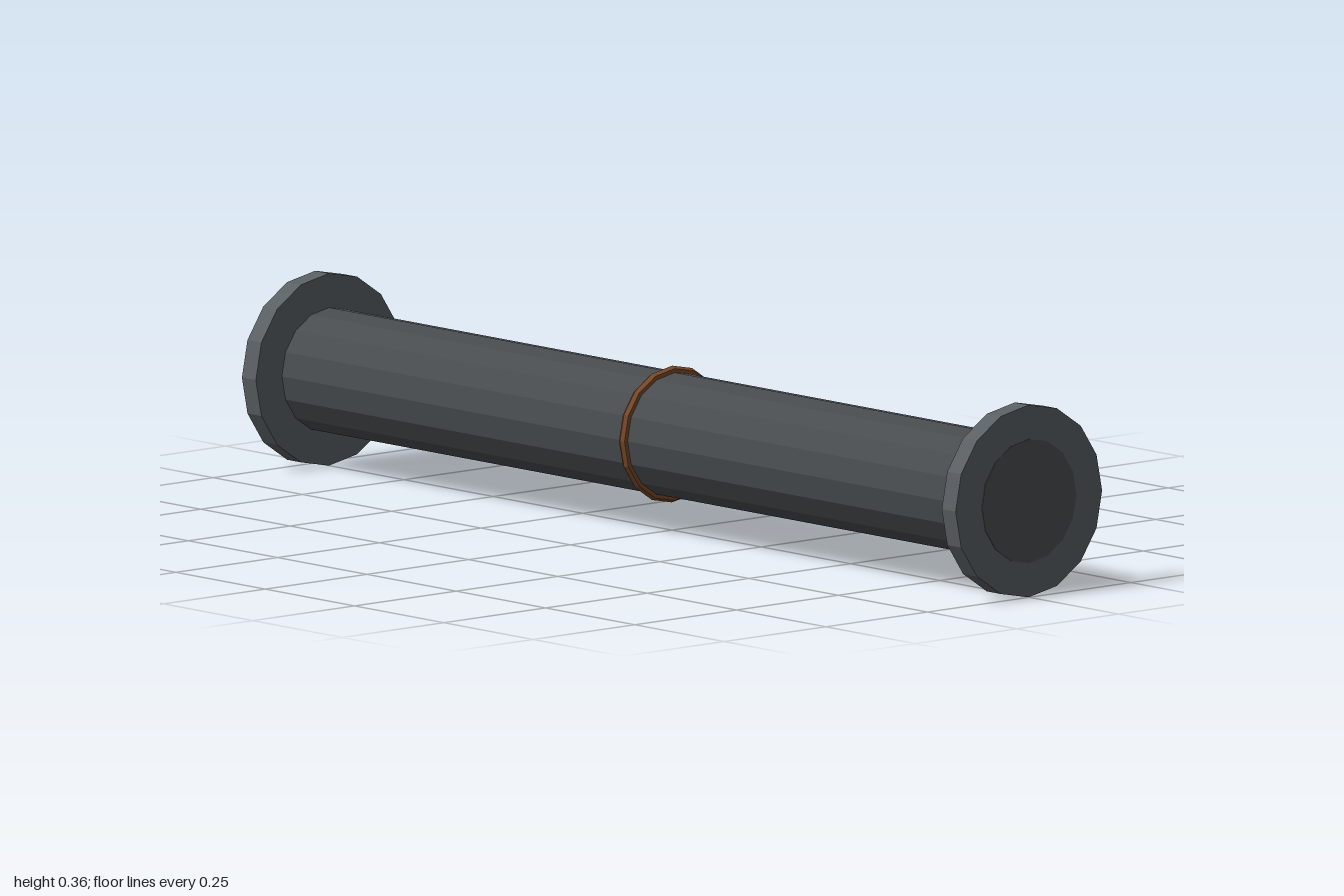
import * as THREE from 'three';

const SIDES = 16;
const AXIS_Y = 0.18;

const paint = (color) => new THREE.MeshStandardMaterial({ color, flatShading: true });

export function createModel() {
  const model = new THREE.Group();
  model.name = 'flangedPipe';
  const pipeMat = paint(0x484c4f);
  const flangeMat = paint(0x5a5f63);
  const ringMat = paint(0x7a4a2a);

  // Closed cylinder lying along x
  const addCylinder = (name, radius, length, x, material) => {
    const geometry = new THREE.CylinderGeometry(radius, radius, length, SIDES);
    geometry.rotateZ(Math.PI / 2);
    const mesh = new THREE.Mesh(geometry, material);
    mesh.name = name;
    mesh.position.set(x, AXIS_Y, 0);
    model.add(mesh);
  };

  // Pipe, its ends just proud of the flange faces
  addCylinder('pipe', 0.116, 2, 0, pipeMat);

  // End flanges
  for (const side of [-1, 1]) {
    addCylinder(side > 0 ? 'leftFlange' : 'rightFlange', 0.18, 0.039, side * 0.9795, flangeMat);
  }

  // Thin rusty weld ring around the middle
  const weld = new THREE.Mesh(new THREE.TorusGeometry(0.119, 0.009, 6, SIDES), ringMat);
  weld.name = 'weldRing';
  weld.rotation.y = Math.PI / 2;
  weld.position.y = AXIS_Y;
  model.add(weld);

  return model;
}
